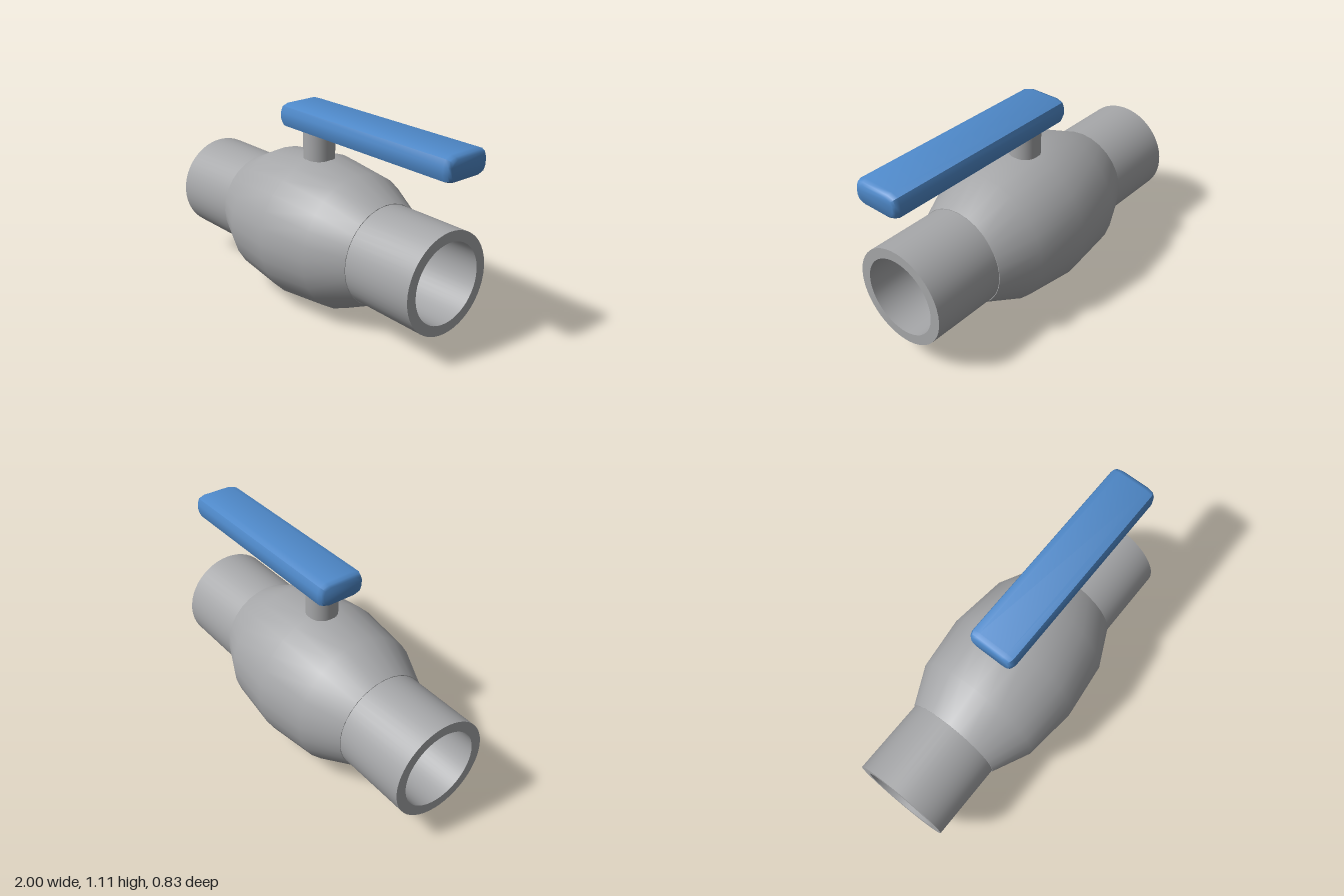
import * as THREE from 'three';
import { toCreasedNormals } from 'three/addons/utils/BufferGeometryUtils.js';

const CX = -0.045; // middle of the valve body
const CY = 0.418; // height of the pipe axis

// Lathe around the x axis from [radius, x] pairs
function latheX(points, segments) {
  const geo = new THREE.LatheGeometry(points.map(([r, x]) => new THREE.Vector2(r, x)), segments);
  return geo.rotateZ(-Math.PI / 2);
}

// Bar along x, rounded on every edge, lofted from inset cross-sections
function handleGeometry(x0, x1) {
  const quarter = [[0.137, 0.021], [0.125, 0.054], [0.087, 0.068]]; // z, y
  const mirrored = [...quarter].reverse();
  const section = [
    ...quarter,
    ...mirrored.map(([z, y]) => [-z, y]),
    ...quarter.map(([z, y]) => [-z, -y]),
    ...mirrored.map(([z, y]) => [z, -y]),
  ];
  const stations = [
    [x0, 0.02], [x0 + 0.01, 0.008], [x0 + 0.032, 0],
    [x1 - 0.032, 0], [x1 - 0.01, 0.008], [x1, 0.02],
  ];
  const n = section.length;
  const pos = [];
  const idx = [];
  for (const [x, inset] of stations) {
    for (const [z, y] of section) {
      pos.push(x, y * (1 - inset / 0.068), z * (1 - inset / 0.137));
    }
  }
  for (let s = 0; s < stations.length - 1; s++) {
    for (let i = 0; i < n; i++) {
      const a = s * n + i;
      const b = s * n + (i + 1) % n;
      idx.push(a, a + n, b, b, a + n, b + n);
    }
  }
  // flat ends
  const last = (stations.length - 1) * n;
  for (let i = 1; i < n - 1; i++) {
    idx.push(0, i, i + 1, last, last + i + 1, last + i);
  }
  const geo = new THREE.BufferGeometry();
  geo.setAttribute('position', new THREE.Float32BufferAttribute(pos, 3));
  geo.setIndex(idx);
  // make the winding face outwards
  const p = geo.attributes.position;
  const v = [0, 1, 2].map((k) => new THREE.Vector3().fromBufferAttribute(p, idx[(2 * n * 6) + k]));
  const normal = v[1].clone().sub(v[0]).cross(v[2].clone().sub(v[0]));
  if (normal.z < 0) {
    for (let i = 0; i < idx.length; i += 3) [idx[i + 1], idx[i + 2]] = [idx[i + 2], idx[i + 1]];
    geo.setIndex(idx);
  }
  return toCreasedNormals(geo, 0.75);
}

export function createModel() {
  const model = new THREE.Group();
  model.name = 'ballValve';
  const steel = new THREE.MeshStandardMaterial({ color: 0xa6a7a9 });
  steel.name = 'steel grey';
  const blue = new THREE.MeshStandardMaterial({ color: 0x4f8acb });
  blue.name = 'handle blue';

  const add = (name, geo, material, x, y) => {
    const mesh = new THREE.Mesh(geo, material);
    mesh.name = name;
    mesh.position.set(x, y, 0);
    model.add(mesh);
    return mesh;
  };

  // Barrel-shaped body
  const bodyProfile = [
    [0.27, -0.523], [0.279, -0.523], [0.38, -0.31], [0.415, 0],
    [0.38, 0.31], [0.279, 0.523], [0.27, 0.523],
  ];
  add('body', toCreasedNormals(latheX(bodyProfile, 28), 0.7), steel, CX, CY);

  // Hollow pipe stubs, closed where they meet the body
  const pipeProfile = [[0.275, 0.51], [0.275, 0.955], [0.218, 0.955], [0.218, 0.5], [0, 0.5]];
  const pipe = toCreasedNormals(latheX(pipeProfile, 48), 0.6);
  add('leftPipe', pipe, steel, CX, CY);
  add('rightPipe', pipe, steel, CX, CY).rotation.y = Math.PI;

  // Stem and lever
  add('stem', new THREE.CylinderGeometry(0.087, 0.087, 0.24, 32), steel, CX, 0.88);
  add('handle', handleGeometry(-0.22, 0.997), blue, 0, 1.044);

  return model;
}
